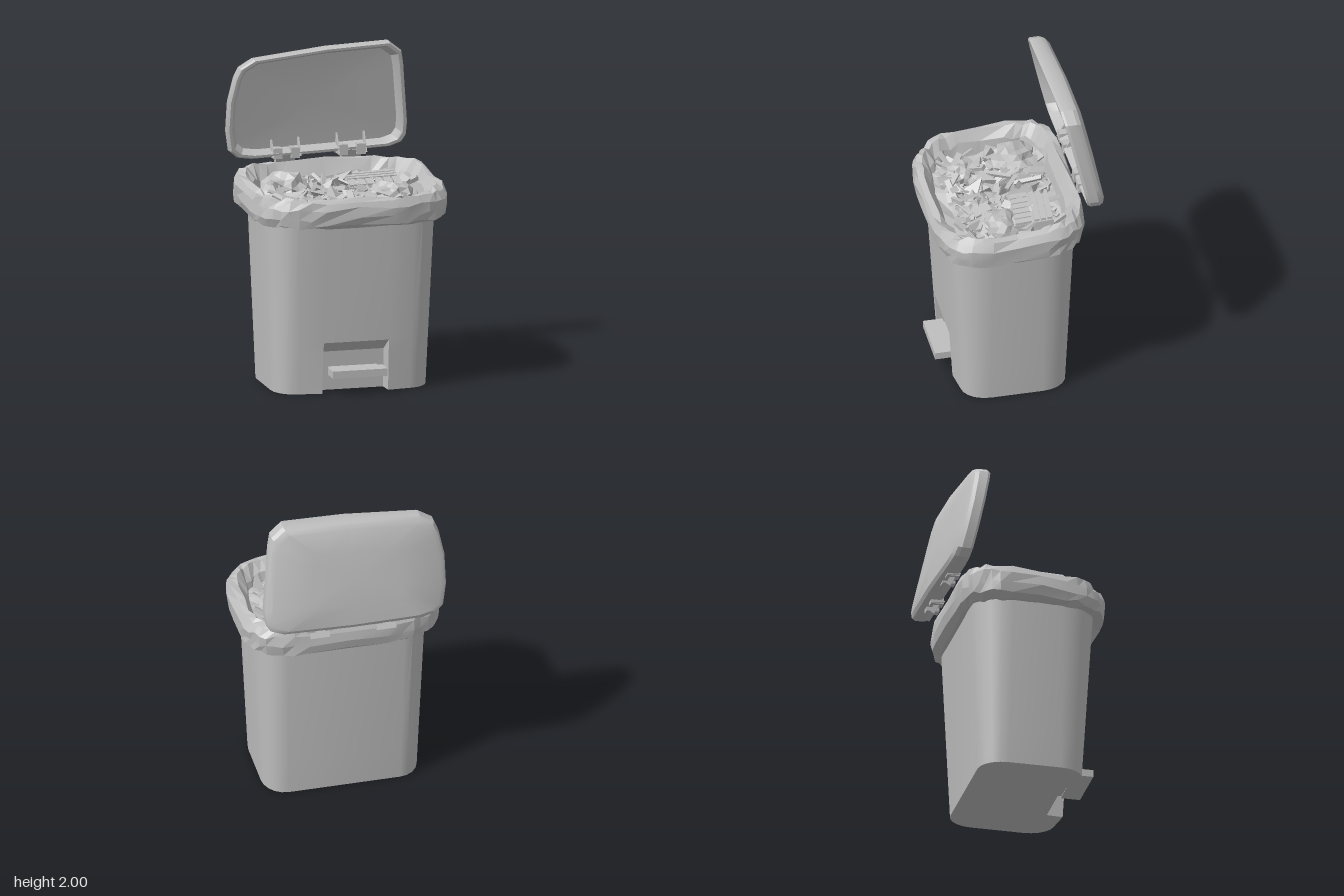
import * as THREE from 'three';
import { mergeGeometries, toCreasedNormals } from 'three/addons/utils/BufferGeometryUtils.js';

// Seeded random numbers
let seed = 7;
const rand = (a = 0, b = 1) => {
  seed = (seed * 16807) % 2147483647;
  return a + (b - a) * (seed / 2147483647);
};

// Skin through rings of [x, y, z] points, with optional fan caps at centre points
function loft(rings, crease, startCentre, endCentre) {
  const pos = [];
  const tri = (...p) => {
    const [a, b, c] = p.map((q) => new THREE.Vector3(...q));
    if (b.clone().sub(a).cross(c.clone().sub(a)).length() > 1e-8) p.forEach((q) => pos.push(...q));
  };
  const n = rings[0].length;
  for (let i = 0; i < rings.length - 1; i++) {
    for (let j = 0; j < n; j++) {
      const k = (j + 1) % n, a = rings[i][j], b = rings[i][k], c = rings[i + 1][k], d = rings[i + 1][j];
      tri(a, d, b);
      tri(b, d, c);
    }
  }
  const last = rings[rings.length - 1];
  for (let j = 0; j < n; j++) {
    const k = (j + 1) % n;
    if (startCentre) tri(startCentre, rings[0][j], rings[0][k]);
    if (endCentre) tri(endCentre, last[k], last[j]);
  }
  const geo = new THREE.BufferGeometry();
  geo.setAttribute('position', new THREE.Float32BufferAttribute(pos, 3));
  return toCreasedNormals(geo, crease);
}

// Tapered bin section: rounded, slightly bowed rectangle with a pedal notch of the given depth
function binRing(y, notch) {
  const t = y / 1.05, hx = 0.48 + 0.05 * t, zf = 0.37 + 0.065 * t, zb = -0.292 - 0.05 * t;
  const rx = 0.135 + 0.035 * t, rz = 0.16 + 0.07 * t, pts = [];
  const corner = (cx, cz, start) => {
    for (let i = 0; i <= 5; i++) {
      const a = start + (i / 5) * Math.PI / 2;
      pts.push([cx + rx * Math.cos(a), y, cz + rz * Math.sin(a)]);
    }
  };
  corner(hx - rx, zf - 0.018 - rz, 0);
  pts.push([0.205, y, zf], [0.2, y, zf - notch], [-0.2, y, zf - notch], [-0.205, y, zf]);
  corner(-hx + rx, zf - 0.018 - rz, Math.PI / 2);
  corner(-hx + rx, zb + rz, Math.PI);
  corner(hx - rx, zb + rz, Math.PI * 1.5);
  return pts;
}

// Superellipse section with crumple, squarer at the back, used by the bag and its contents
function bagRing(hx, hz, y, tilt, wobble, n = 44) {
  return Array.from({ length: n }, (_, j) => {
    const a = (j / n) * Math.PI * 2, c = Math.cos(a), s = Math.sin(a);
    const w = 1 + rand(-wobble, wobble), e = s < 0 ? 0.47 : 0.55;
    const x = hx * w * Math.sign(c) * Math.abs(c) ** e;
    const z = 0.045 + hz * w * Math.sign(s) * Math.abs(s) ** e;
    return [x, y - tilt * z + rand(-wobble, wobble) * 0.7, z];
  });
}

export function createModel() {
  seed = 7;
  const model = new THREE.Group();
  const grey = new THREE.MeshStandardMaterial({ color: 0xbfbfbf });
  grey.name = 'plain grey';
  const add = (name, geo, parent = model) => {
    const mesh = new THREE.Mesh(geo, grey);
    mesh.name = name;
    parent.add(mesh);
    return mesh;
  };

  // Bin body with sloped notch ceiling, and its underside
  add('binBody', loft([binRing(0, 0.1), binRing(0.24, 0.1), binRing(0.315, 0), binRing(1.08, 0)], 0.4));
  const base = new THREE.Shape(binRing(0, 0.1).map((p) => new THREE.Vector2(p[0], p[2])));
  add('binBase', new THREE.ShapeGeometry(base).rotateX(Math.PI / 2));

  // Foot pedal with a narrower shank running into the notch
  const pedal = new THREE.Group();
  pedal.name = 'pedal';
  model.add(pedal);
  add('pedalPlate', new THREE.BoxGeometry(0.34, 0.045, 0.12).translate(0.005, 0.133, 0.41), pedal);
  add('pedalShank', new THREE.BoxGeometry(0.3, 0.03, 0.1).translate(0.005, 0.13, 0.31), pedal);

  // Bin liner: up the outside, over the rim and down the inside
  add('binLiner', loft([
    bagRing(0.5, 0.36, 1.06, -0.03, 0),
    bagRing(0.555, 0.41, 1.05, 0.03, 0.012),
    bagRing(0.602, 0.452, 1.075, 0.045, 0.016),
    bagRing(0.61, 0.46, 1.13, 0.06, 0.016),
    bagRing(0.608, 0.462, 1.195, 0.07, 0.016),
    bagRing(0.588, 0.442, 1.24, 0.08, 0.018),
    bagRing(0.545, 0.41, 1.25, 0.08, 0.022),
    bagRing(0.505, 0.365, 1.18, 0.06, 0.028),
    bagRing(0.475, 0.335, 1.03, 0, 0.015),
  ], 0.2));

  // Bumpy bed under the loose rubbish, tucked into the liner wall
  const bed = [1.08, 0.8, 0.6, 0.4, 0.2].map((s) => bagRing(0.48 * s, 0.345 * s, 1.11, 0.03, s > 1 ? 0.01 : 0.05));
  add('rubbishBed', loft(bed, 0.1, null, [0, 1.12, 0.045]));

  // Loose scraps: sticks, flakes and wedges
  const scraps = [];
  const place = (geo, x, y, z, tilt) => {
    geo.rotateZ(rand(-tilt, tilt)).rotateX(rand(-tilt, tilt)).rotateY(rand(0, Math.PI)).translate(x, y, z);
    geo.deleteAttribute('uv');
    scraps.push(geo.index ? geo.toNonIndexed() : geo);
  };
  for (let i = 0; i < 210; i++) {
    const x = rand(-0.42, 0.42), z = rand(-0.26, 0.33), y = rand(1.1, 1.18) - 0.06 * z;
    const geo = i % 3 === 0
      ? new THREE.BoxGeometry(rand(0.12, 0.24), rand(0.01, 0.03), rand(0.02, 0.045))
      : i % 3 === 1
        ? new THREE.TetrahedronGeometry(rand(0.05, 0.1)).scale(1, 0.6, 0.6)
        : new THREE.BoxGeometry(rand(0.06, 0.13), 0.012, rand(0.05, 0.09));
    place(geo, x, y, z, 0.6);
  }
  add('scraps', mergeGeometries(scraps));

  // Crumpled paper balls
  for (const [x, y, z, r] of [[-0.3, 1.17, -0.12, 0.13], [0.3, 1.14, 0.1, 0.115], [-0.3, 1.12, 0.22, 0.09], [0.05, 1.1, 0.22, 0.09]]) {
    const geo = new THREE.IcosahedronGeometry(r, 2), p = geo.attributes.position, v = new THREE.Vector3();
    for (let i = 0; i < p.count; i++) {
      v.fromBufferAttribute(p, i);
      const key = Math.round(v.x * 900) * 12.99 + Math.round(v.y * 900) * 78.23 + Math.round(v.z * 900) * 37.72;
      const f = 0.74 + 0.4 * Math.abs(Math.sin(key));
      p.setXYZ(i, v.x * f * 1.1, v.y * f * 0.75, v.z * f);
    }
    geo.computeVertexNormals();
    add('crumpledPaper', geo.translate(x, y, z));
  }

  // Discarded carton with ribs across two panels
  const carton = new THREE.Group();
  carton.name = 'carton';
  carton.position.set(0.24, 1.15, -0.11);
  carton.rotation.set(0.12, -0.08, 0.05);
  model.add(carton);
  add('cartonBlock', new THREE.BoxGeometry(0.32, 0.09, 0.24), carton);
  for (let i = 0; i < 6; i++) {
    add('cartonRib', new THREE.BoxGeometry(0.045, 0.02, 0.1).translate(-0.135 + i * 0.054, 0.05, 0.06), carton);
  }
  for (let i = 0; i < 3; i++) {
    add('cartonSlat', new THREE.BoxGeometry(0.3, 0.02, 0.03).translate(0, 0.05, -0.1 + i * 0.04), carton);
  }

  // Lid: leaning, slightly twisted tray, hollow towards the front, bowed across its back
  const outline = [
    [0.53, 1.47], [0.482, 1.86], [0.465, 1.94], [0.39, 2], [0, 1.985], [-0.46, 1.938], [-0.545, 1.885], [-0.572, 1.82],
    [-0.6, 1.67], [-0.6, 1.48], [-0.575, 1.35], [-0.53, 1.31], [-0.44, 1.295], [0, 1.305], [0.43, 1.32], [0.5, 1.345],
    [0.527, 1.39],
  ];
  const lidPoint = (x, y, depth) =>
    [x, y, -0.25 - (1.98 - y) * 0.22 - 0.025 * x + depth * (1.15 - 0.5 * x * x)];
  const lidRing = (s, depth) => outline.map(([x, y]) =>
    lidPoint(-0.035 + (x + 0.035) * s, 1.645 + (y - 1.645) * (s > 0.8 ? 1.4 * s - 0.4 : s), depth));
  add('lid', loft([
    lidRing(0.5, -0.065), lidRing(0.9, -0.06), lidRing(0.94, -0.01), lidRing(0.955, 0), lidRing(0.985, 0),
    lidRing(1, -0.015), lidRing(1, -0.07), lidRing(0.98, -0.093), lidRing(0.93, -0.108), lidRing(0.5, -0.12),
  ], 0.45, lidPoint(-0.035, 1.645, -0.065), lidPoint(-0.035, 1.645, -0.122)));

  // Hinges: two knuckles, a strap down to the rim and a pair of gusset ribs
  for (const x of [-0.22, 0.19]) {
    const hinge = new THREE.Group();
    hinge.name = 'hinge';
    hinge.position.x = x;
    model.add(hinge);
    add('hingeStrap', new THREE.BoxGeometry(0.12, 0.1, 0.03).rotateX(0.5).translate(0, 1.28, -0.435), hinge);
    const rib = new THREE.Shape([[0.385, 1.3], [0.47, 1.29], [0.45, 1.42]].map((p) => new THREE.Vector2(...p)));
    for (const s of [-1, 1]) {
      add('hingeKnuckle', new THREE.BoxGeometry(0.055, 0.065, 0.08).translate(s * 0.055, 1.32, -0.43), hinge);
      const geo = new THREE.ExtrudeGeometry(rib, { depth: 0.012, bevelEnabled: false });
      add('hingeRib', geo.rotateY(Math.PI / 2).translate(s * 0.085 - 0.006, 0, 0), hinge);
    }
  }
  return model;
}
